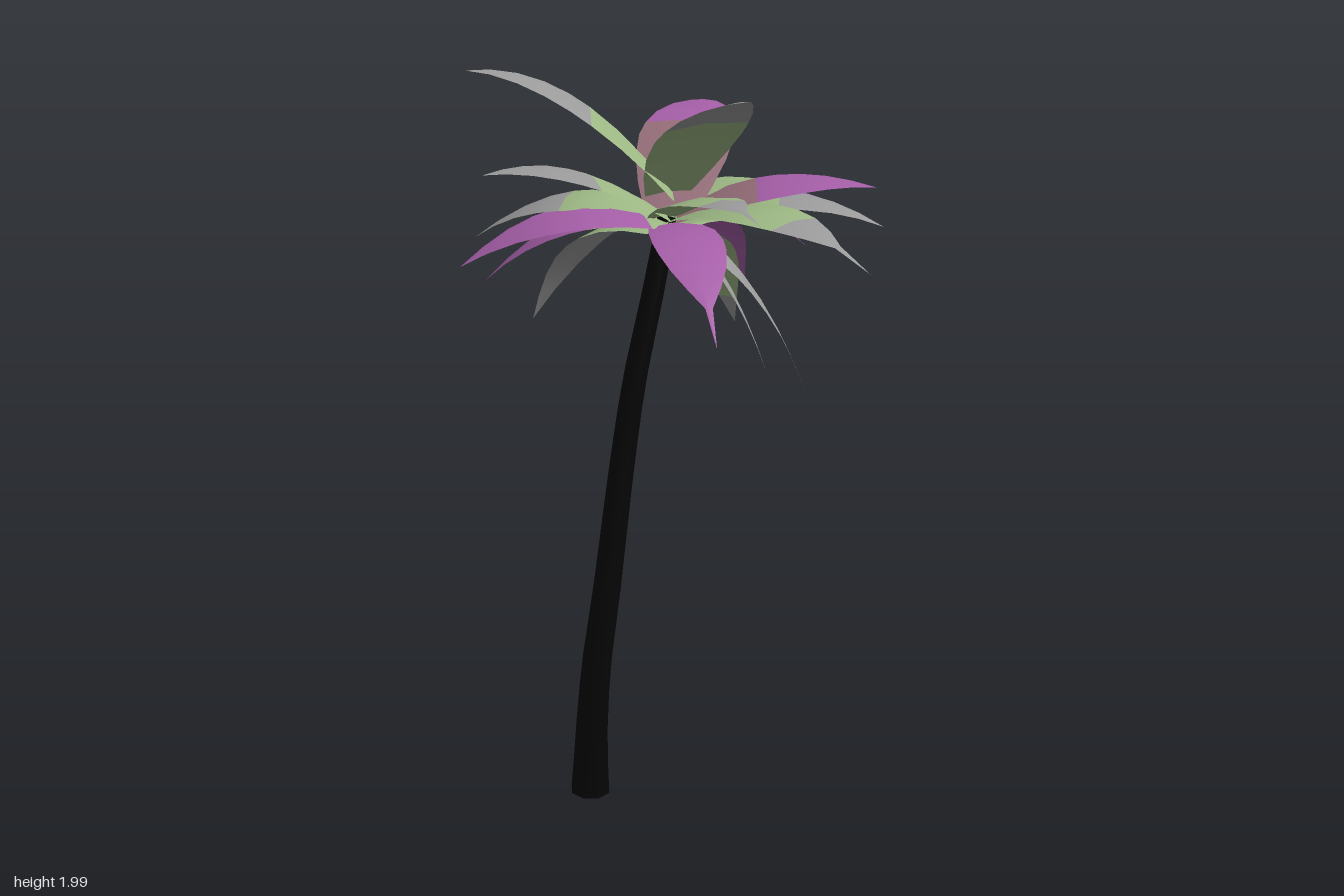
import * as THREE from 'three';

const flat = (name, color, side = THREE.DoubleSide) => {
  const m = new THREE.MeshStandardMaterial({ color, side });
  m.name = name;
  return m;
};

// Width of a leaf along its length (fraction along, fraction of full width)
const POINTED = [[0, 0.55], [0.12, 0.78], [0.26, 0.95], [0.4, 1], [0.5, 0.95], [0.62, 0.81], [0.75, 0.57], [0.88, 0.28], [1, 0]];
const SPIKED = [[0, 0.55], [0.12, 0.78], [0.26, 0.95], [0.4, 1], [0.5, 0.95], [0.62, 0.78], [0.74, 0.46], [0.84, 0.1], [1, 0]];

// Arched leaf blade from the crown to a tip; the colour changes at row "split"
function makeLeaf({ tip, lift, width, split, profile = POINTED, across, root = [0, 0, 0] }, materials) {
  const end = new THREE.Vector3(...tip);
  const base = new THREE.Vector3(0.01, 1.61, -0.085).add(new THREE.Vector3(...root));
  base.add(new THREE.Vector3(end.x * 0.04, (end.y - 1.6) * 0.08, end.z * 0.04));
  const middle = base.clone().lerp(end, 0.5);
  middle.y += lift;
  const spine = new THREE.QuadraticBezierCurve3(base, middle, end);
  const side = across
    ? new THREE.Vector3(...across).normalize()
    : new THREE.Vector3(end.z - base.z, 0, base.x - end.x).normalize();
  const positions = [], index = [];
  for (const [t, w] of profile) {
    const p = spine.getPoint(t);
    for (const s of [-1, 0, 1]) {
      const q = p.clone().addScaledVector(side, s * w * width / 2);
      positions.push(q.x, q.y - Math.abs(s) * w * 0.012, q.z);
    }
  }
  for (let i = 0; i < profile.length - 1; i++) {
    for (let j = 0; j < 2; j++) {
      const a = i * 3 + j, b = a + 3;
      index.push(a, b, a + 1, a + 1, b, b + 1);
    }
  }
  const g = new THREE.BufferGeometry();
  g.setAttribute('position', new THREE.Float32BufferAttribute(positions, 3));
  g.setIndex(index);
  g.addGroup(0, split * 12, 0);
  g.addGroup(split * 12, index.length - split * 12, 1);
  g.computeVertexNormals();
  return new THREE.Mesh(g, materials);
}

// Leaning trunk: a cylinder whose rings follow a curve
function makeTrunk(material) {
  const curve = new THREE.CatmullRomCurve3([
    [-0.3, 0.012, 0.035], [-0.29, 0.2, 0.03], [-0.267, 0.4, 0.02], [-0.228, 0.6, 0.005], [-0.148, 1, -0.04],
    [-0.105, 1.2, -0.055], [-0.05, 1.4, -0.068], [0.005, 1.61, -0.085],
  ].map(p => new THREE.Vector3(...p)));
  const g = new THREE.CylinderGeometry(1, 1, 1, 8, 16);
  const pos = g.attributes.position;
  const v = new THREE.Vector3(), up = new THREE.Vector3(0, 1, 0), q = new THREE.Quaternion();
  for (let i = 0; i < pos.count; i++) {
    const t = THREE.MathUtils.clamp(pos.getY(i) + 0.5, 0, 1);
    const r = 0.028 + 0.018 * (1 - t) + 0.011 * Math.pow(1 - t, 10);
    q.setFromUnitVectors(up, curve.getTangentAt(t));
    v.set(pos.getX(i) * r, 0, pos.getZ(i) * r).applyQuaternion(q).add(curve.getPointAt(t));
    pos.setXYZ(i, v.x, Math.max(0, v.y), v.z);
  }
  g.computeVertexNormals();
  return new THREE.Mesh(g, material);
}

export function createModel() {
  const green = flat('leaf green', 0x9db884);
  const grey = flat('leaf grey', 0x9a9b9a);
  const purple = flat('leaf purple', 0xa860aa);
  const mauve = flat('leaf mauve', 0x98707c);
  const black = flat('trunk black', 0x050505, THREE.FrontSide);

  const group = new THREE.Group();
  const trunk = makeTrunk(black);
  trunk.name = 'trunk';
  group.add(trunk);

  // Leaves by colour pair: base colour, tip colour, blades
  const kinds = [
    ['grey tipped leaf', green, grey, [
      // upright
      { tip: [0.03, 1.985, 0.31], lift: 0.13, width: 0.25, split: 4, root: [0.01, 0.03, -0.04] },
      { tip: [-0.46, 1.995, -0.3], lift: 0.18, width: 0.23, split: 3, across: [-0.38, 0, 0.92], root: [0.03, 0.03, 0.01] },
      // spreading
      { tip: [-0.48, 1.76, -0.15], lift: 0.12, width: 0.19, split: 3, root: [0, 0, 0.03] },
      { tip: [-0.42, 1.53, -0.39], lift: 0.17, width: 0.22, split: 4 },
      { tip: [0.54, 1.55, -0.21], lift: 0.17, width: 0.21, split: 5 },
      { tip: [0.48, 1.6, 0.22], lift: 0.14, width: 0.2, split: 4 },
      { tip: [0.31, 1.68, -0.5], lift: 0.17, width: 0.2, split: 4 },
      { tip: [-0.01, 1.72, 0.45], lift: 0.12, width: 0.17, split: 5, profile: SPIKED, root: [-0.03, 0, 0] },
      { tip: [0.23, 1.6, 0.56], lift: 0.17, width: 0.21, split: 5, profile: SPIKED },
      // drooping
      { tip: [-0.21, 1.23, -0.52], lift: 0.24, width: 0.25, split: 3 },
      { tip: [0.28, 1.24, -0.22], lift: 0.2, width: 0.22, split: 7 },
      { tip: [0.38, 1.07, 0.04], lift: 0.24, width: 0.24, split: 2, profile: SPIKED },
      { tip: [0.26, 1.16, 0.01], lift: 0.18, width: 0.15, split: 2 },
    ]],
    ['purple tipped leaf', green, purple, [
      // spreading
      { tip: [-0.55, 1.53, -0.15], lift: 0.16, width: 0.23, split: 1, root: [0, 0, 0.05] },
      { tip: [0.555, 1.56, -0.15], lift: 0.13, width: 0.2, split: 2 },
      { tip: [-0.16, 1.46, 0.52], lift: 0.18, width: 0.18, split: 1, profile: SPIKED },
      // drooping
      { tip: [0.4, 1.49, -0.03], lift: 0.14, width: 0.18, split: 2 },
      { tip: [-0.42, 1.43, -0.32], lift: 0.17, width: 0.2, split: 3 },
      { tip: [0.39, 1.3, -0.37], lift: 0.2, width: 0.2, split: 2 },
    ]],
    ['mauve and purple leaf', mauve, purple, [
      { tip: [0.37, 1.79, -0.57], lift: 0.18, width: 0.26, split: 4 },
      { tip: [0.49, 1.69, 0.16], lift: 0.1, width: 0.25, split: 3 },
    ]],
  ];
  const crown = new THREE.Group();
  crown.name = 'crown';
  for (const [name, baseMat, tipMat, blades] of kinds) {
    blades.forEach((blade, i) => {
      const leaf = makeLeaf(blade, [baseMat, tipMat]);
      leaf.name = `${name} ${i + 1}`;
      crown.add(leaf);
    });
  }
  group.add(crown);
  return group;
}
